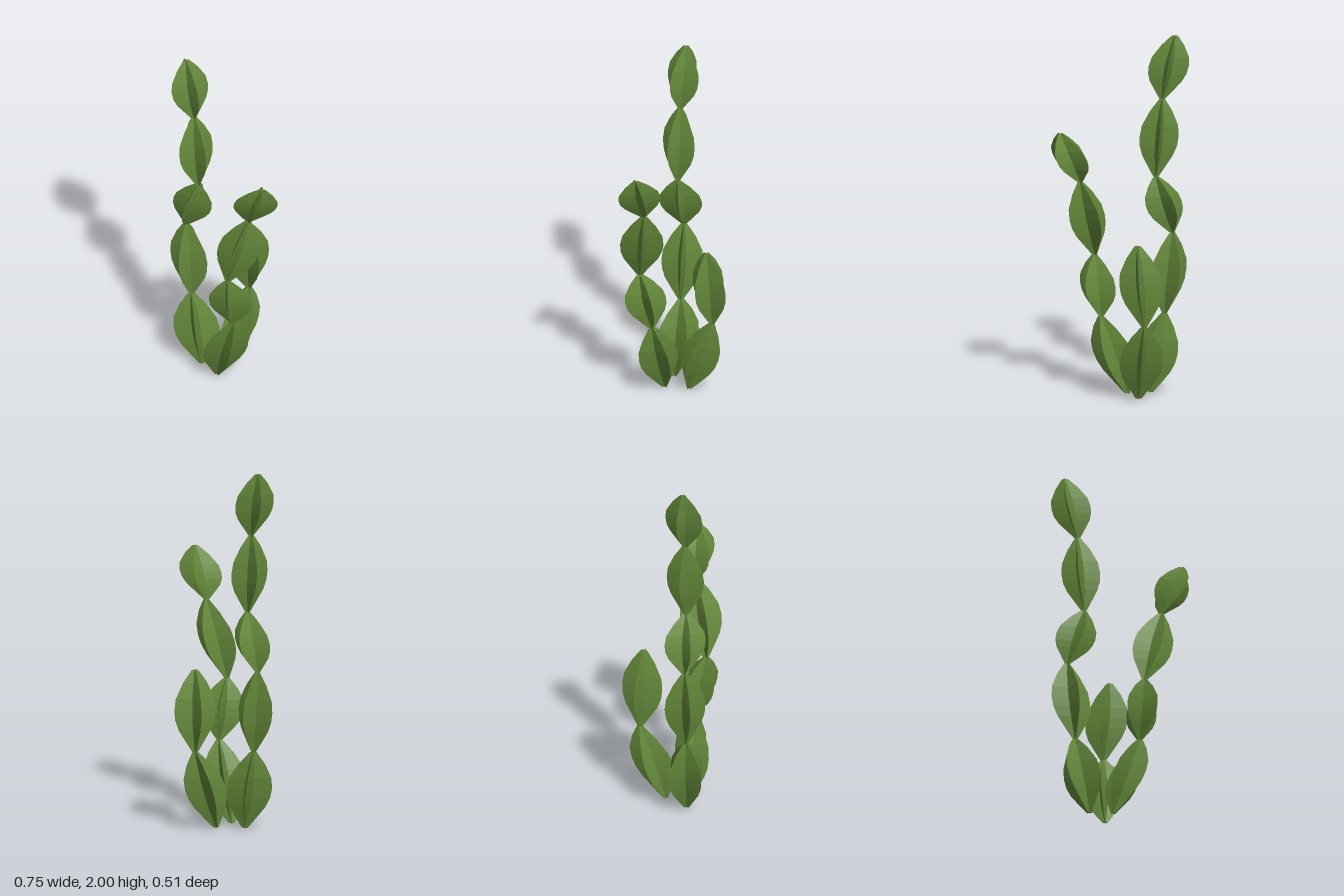
import * as THREE from 'three';

const ARMS = 4;
const VALLEY = 0.27;    // valley depth as a share of the rib reach
// [height share, radius share] along one pad
const PROFILE = [[0, 0.13], [0.14, 0.47], [0.28, 0.8], [0.4, 0.96], [0.52, 1], [0.66, 0.93], [0.85, 0.57], [1, 0.15]];

// Lofts one star-shaped pad between two joints, with level rings
function padGeometry(from, to, yaw, radius) {
  const n = ARMS * 2;
  const pos = [];
  const idx = [];
  for (const [t, r] of PROFILE) {
    const c = from.clone().lerp(to, t);
    for (let i = 0; i < n; i++) {
      const a = yaw + (i / n) * Math.PI * 2;
      const reach = radius * r * (i % 2 ? VALLEY : 1);
      pos.push(c.x + Math.cos(a) * reach, c.y, c.z + Math.sin(a) * reach);
    }
  }
  for (let k = 0; k < PROFILE.length - 1; k++) {
    for (let i = 0; i < n; i++) {
      const a = k * n + i;
      const b = k * n + ((i + 1) % n);
      idx.push(a, a + n, b, b, a + n, b + n);
    }
  }
  // End caps
  const top = (PROFILE.length - 1) * n;
  const bottomCentre = pos.length / 3;
  pos.push(from.x, from.y, from.z, to.x, to.y, to.z);
  for (let i = 0; i < n; i++) {
    const j = (i + 1) % n;
    idx.push(bottomCentre, i, j, bottomCentre + 1, top + j, top + i);
  }
  const g = new THREE.BufferGeometry();
  g.setAttribute('position', new THREE.Float32BufferAttribute(pos, 3));
  g.setIndex(idx);
  const flat = g.toNonIndexed();
  flat.computeVertexNormals();
  return flat;
}

// Joint positions, then [yaw in degrees, rib reach] of each pad
const STEMS = [
  {
    name: 'tallStem',
    joints: [[-0.165, 0, 0.11], [-0.245, 0.437, 0.115], [-0.287, 0.89, 0.115], [-0.195, 1.21, 0.11], [-0.23, 1.645, 0.11], [-0.3, 2, 0.108]],
    pads: [[41, 0.125], [-21, 0.114], [-22, 0.116], [10, 0.106], [15, 0.109]],
  },
  {
    name: 'leaningStem',
    joints: [[-0.035, 0, 0.108], [0.107, 0.437, 0.118], [0.13, 0.77, 0.18], [0.225, 1.2, 0.11], [0.335, 1.48, 0.107]],
    pads: [[33, 0.121], [45, 0.117], [-25, 0.118], [48, 0.118]],
  },
  {
    name: 'shortStem',
    joints: [[-0.075, 0, -0.018], [-0.08, 0.437, -0.155], [-0.048, 0.89, -0.137]],
    pads: [[11, 0.118], [15, 0.118]],
  },
];

export function createModel() {
  const model = new THREE.Group();
  model.name = 'cactus';
  const green = new THREE.MeshStandardMaterial({ color: 0x64893a });
  green.name = 'cactus green';

  for (const { name, joints, pads } of STEMS) {
    const stem = new THREE.Group();
    stem.name = name;
    const points = joints.map((p) => new THREE.Vector3(...p));
    pads.forEach(([yaw, radius], i) => {
      const pad = new THREE.Mesh(padGeometry(points[i], points[i + 1], THREE.MathUtils.degToRad(yaw), radius), green);
      pad.name = `pad${i + 1}`;
      stem.add(pad);
    });
    model.add(stem);
  }
  return model;
}
